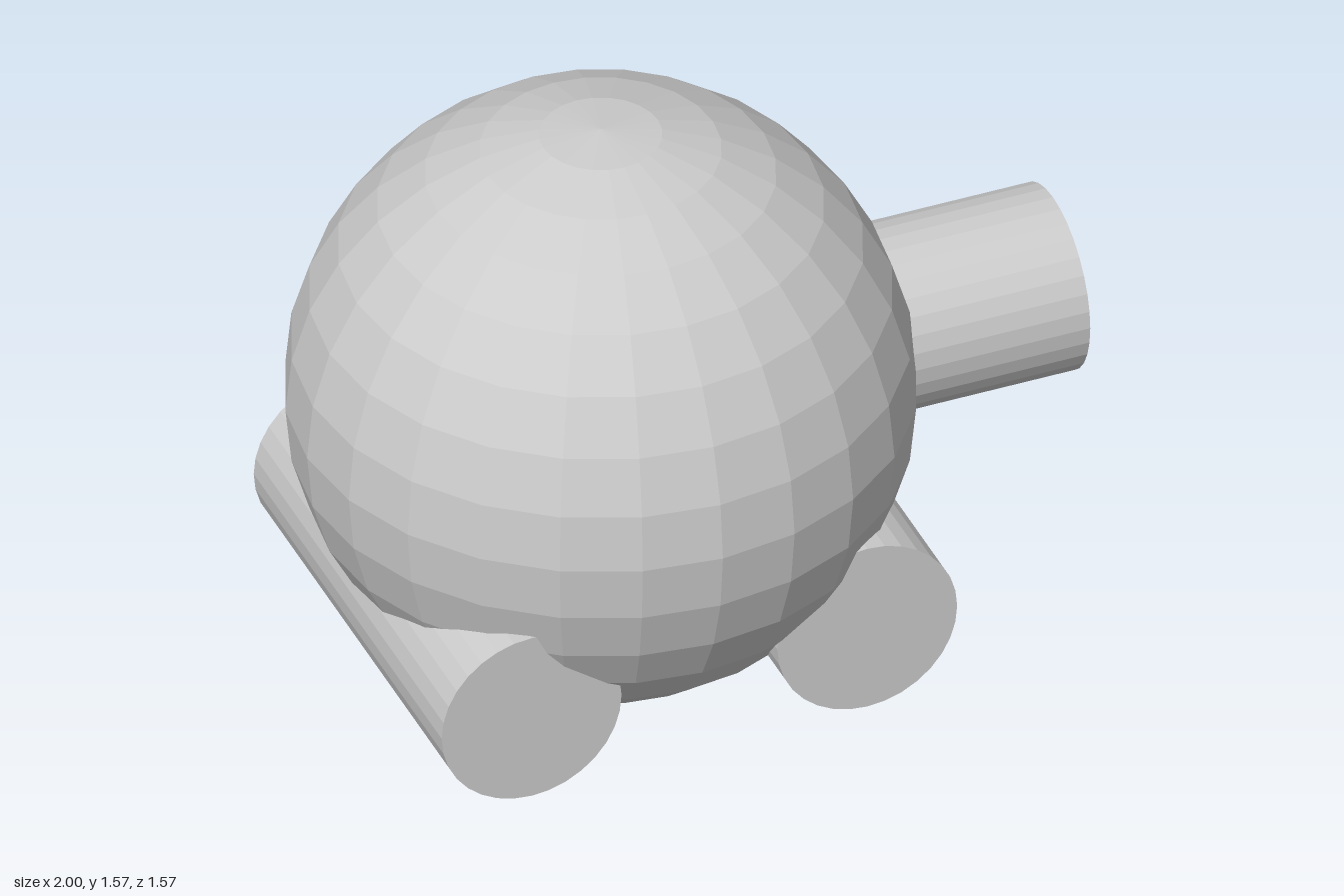
import * as THREE from 'three';

export function createModel() {
  const group = new THREE.Group();
  const material = new THREE.MeshStandardMaterial({ color: 0xcccccc, flatShading: true });
  const R = 0.787, cx = R - 1;

  const add = (name, geometry, x, y, z) => {
    const mesh = new THREE.Mesh(geometry, material);
    mesh.name = name;
    mesh.position.set(x, y, z);
    group.add(mesh);
    return mesh;
  };

  // Faceted ball body
  add('body', new THREE.SphereGeometry(R, 24, 16), cx, R, 0);

  // Hollow snout: outer wall, rim, bore and floor in one profile
  const profile = [[0.24, 0.4], [0.24, 1], [0.178, 1], [0.178, 0.576], [0, 0.576]]
    .map(([r, h]) => new THREE.Vector2(r, h));
  const snout = add('snout', new THREE.LatheGeometry(profile, 32), 0, R, 0);
  snout.rotation.z = -Math.PI / 2;

  // Two solid rollers under the body, running front to back
  for (const [name, x, y] of [['leftRoller', 0.25, 0.325], ['rightRoller', -0.65, 0.303]]) {
    const roller = add(name, new THREE.CylinderGeometry(0.241, 0.241, 1.21, 32), x, y, 0);
    roller.rotation.x = Math.PI / 2;
  }

  return group;
}
